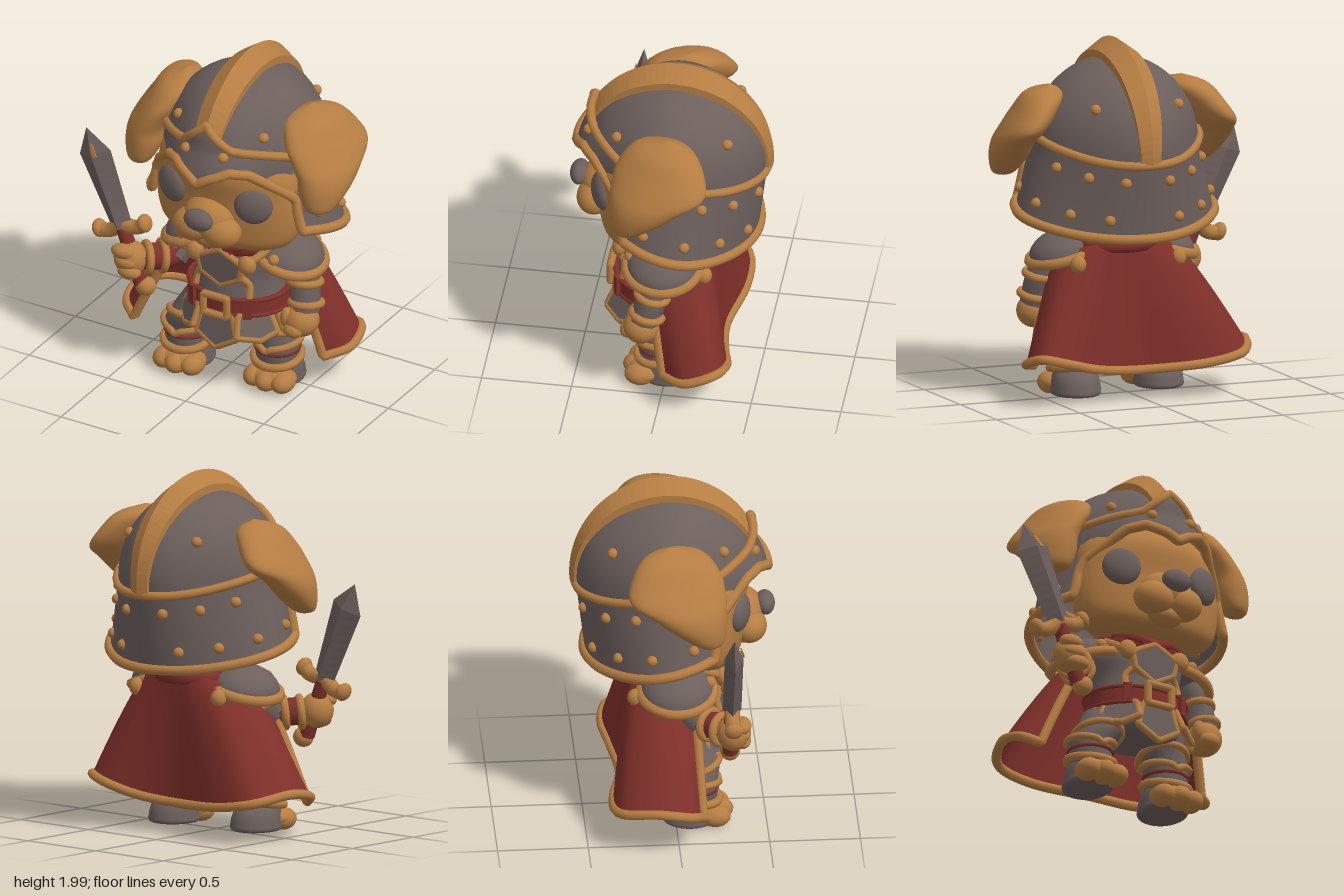
import * as THREE from 'three';
import { mergeVertices } from 'three/addons/utils/BufferGeometryUtils.js';

const mat = (name, color, side = THREE.FrontSide) => new THREE.MeshStandardMaterial({ name, color, side });
const V = (x, y, z) => new THREE.Vector3(x, y, z);
const { sin, cos, PI, abs, sqrt, max } = Math;
const rad = (d) => d * PI / 180;
const curve = (pts, closed = false, tension = 0.5) => new THREE.CatmullRomCurve3(pts, closed, 'catmullrom', tension);

// Smooth surface from fn(u, v); outside faces du x dv
function grid(nu, nv, fn) {
  const pos = [], idx = [];
  for (let j = 0; j <= nv; j++) for (let i = 0; i <= nu; i++) pos.push(...fn(i / nu, j / nv).toArray());
  for (let j = 0; j < nv; j++) for (let i = 0; i < nu; i++) {
    const a = j * (nu + 1) + i, b = a + nu + 1;
    idx.push(a, a + 1, b + 1, a, b + 1, b);
  }
  let g = new THREE.BufferGeometry();
  g.setAttribute('position', new THREE.Float32BufferAttribute(pos, 3));
  g.setIndex(idx);
  g = mergeVertices(g, 1e-4);
  g.computeVertexNormals();
  return g;
}
function faceted(g) {
  const flat = g.toNonIndexed();
  flat.computeVertexNormals();
  return flat;
}
// Elliptical rings [x, y, z, rx, rz] from bottom to top, joined smoothly; shear moves x with depth
function loft(rows, n = 32, shear = 0) {
  const mid = curve(rows.map((r) => V(r[0], r[1], r[2]))), size = curve(rows.map((r) => V(r[3], r[4], 0)));
  return grid(n, rows.length * 4, (u, v) => {
    const c = mid.getPoint(v), s = size.getPoint(v), a = u * 2 * PI, z = c.z + s.y * cos(a);
    return V(c.x + s.x * sin(a) + shear * z, c.y, z);
  });
}
const ball = (rx, ry, rz, x, y, z, yaw = 0) => new THREE.SphereGeometry(1, 28, 18).scale(rx, ry, rz).rotateY(yaw).translate(x, y, z);
const tube = (pts, r, closed = false, tension = 0.5, seg = pts.length * 6) =>
  new THREE.TubeGeometry(curve(pts, closed, tension), seg, r, 8, closed);
const ring = (rx, rz, r, wave = () => 0, n = 24) => tube(Array.from({ length: n }, (_, i) => {
  const a = i / n * 2 * PI;
  return V(rx * sin(a), wave(a), rz * cos(a));
}), r, true);
const band = (p, dir, r, t) => new THREE.TorusGeometry(r, t, 10, 28).lookAt(dir).translate(p.x, p.y, p.z);
function mirror(geo) {
  const g = geo.clone().scale(-1, 1, 1), ix = g.index.array;
  for (let i = 0; i < ix.length; i += 3) [ix[i], ix[i + 1]] = [ix[i + 1], ix[i]];
  g.computeVertexNormals();
  return g;
}
// Linear interpolation in a short table of [key, value]
function table(t, k) {
  for (let i = 1; i < t.length; i++) if (k <= t[i][0])
    return t[i - 1][1] + (t[i][1] - t[i - 1][1]) * (k - t[i - 1][0]) / (t[i][0] - t[i - 1][0]);
  return t[t.length - 1][1];
}

// Helmet surface: angle 0 is the front
function shell(a, y, off = 0) {
  const k = y > 1.42 ? sqrt(max(0, 1 - ((y - 1.42) / 0.48) ** 2)) : 1, u = max(0, (1.42 - y) / 0.47);
  const f = k * (1 + off) * (1 - 0.06 * sin(2 * a) ** 2);
  const depth = cos(a) > 0 ? 0.5 + 0.03 * u : 0.515 - 0.055 * u;
  return V((0.47 + 0.12 * u) * f * sin(a), y, -0.02 + depth * f * cos(a));
}
const bandY = (a) => 1.485 + 0.125 * cos(a);
const hemY = (a) => 1.055 + 0.11 * cos(a);
const browTop = (d) => (d < 28 ? table([[0, 1.74], [12, 1.66], [20, 1.61], [28, 1.595]], d) : bandY(rad(d)));
const browLow = (d) => table([[0, 1.42], [8, 1.46], [20, 1.5], [33, 1.48], [45, 1.41], [55, 1.35], [64, 1.29]], d);
function brow(deg, t) {
  const d = abs(deg), y = browLow(d) + (browTop(d) - browLow(d)) * t;
  return shell(rad(deg), y, 0.015 + 0.085 * (1 - t) * cos(rad(d)) ** 5 + 1.4 * max(0, y - 1.6));
}

export function createModel() {
  const steel = mat('steel', 0x6c5f5c, THREE.DoubleSide), gold = mat('tan gold', 0xb57d43), red = mat('red cloth', 0x80302a, THREE.DoubleSide);
  const model = new THREE.Group();
  model.name = 'dogKnight';
  const body = new THREE.Group();
  body.name = 'character';
  body.position.x = 0.09;
  model.add(body);
  const add = (name, geo, m, parent = body) => {
    const mesh = new THREE.Mesh(geo, m);
    mesh.name = name;
    parent.add(mesh);
  };
  const pair = (name, geo, m) => { add(name + 'Left', geo, m); add(name + 'Right', mirror(geo), m); };
  const group = (name, x, y, z, parent = body) => {
    const g = new THREE.Group();
    g.name = name;
    g.position.set(x, y, z);
    parent.add(g);
    return g;
  };

  // Head and face
  add('head', loft([[0, 0.935, 0.18, 0.001, 0.001], [0, 0.94, 0.18, 0.27, 0.13], [0, 0.99, 0.18, 0.39, 0.2], [0, 1.1, 0.17, 0.44, 0.23],
    [0, 1.27, 0.17, 0.44, 0.24], [0, 1.45, 0.15, 0.41, 0.27], [0, 1.62, 0.08, 0.28, 0.22]], 40), gold);
  pair('eye', ball(0.108, 0.11, 0.055, 0.258, 1.27, 0.355, 0.4), steel);
  add('muzzle', ball(0.16, 0.125, 0.14, 0, 1.15, 0.37), gold);
  pair('jowl', ball(0.12, 0.095, 0.1, 0.088, 1.095, 0.42), gold);
  add('chin', ball(0.11, 0.06, 0.08, 0, 1.02, 0.38), gold);
  add('nose', ball(0.088, 0.064, 0.055, 0, 1.185, 0.515), steel);
  pair('ear', loft([[0.61, 1.235, 0.18, 0.001, 0.001], [0.61, 1.26, 0.175, 0.07, 0.075], [0.595, 1.36, 0.115, 0.115, 0.155], [0.58, 1.45, 0.06, 0.122, 0.21],
    [0.535, 1.53, 0, 0.125, 0.265], [0.475, 1.62, -0.01, 0.125, 0.25], [0.415, 1.72, -0.02, 0.11, 0.17], [0.39, 1.77, -0.04, 0.001, 0.001]], 36, -0.2), gold);

  // Helmet shells
  add('helmetDome', grid(72, 16, (u, v) => {
    const a = u * 2 * PI, y = bandY(a);
    return shell(a, y + (1.9 - y) * sin(v * PI / 2));
  }), steel);
  add('neckGuard', grid(60, 8, (u, v) => {
    const a = rad(62 + 236 * u), y = hemY(a);
    return shell(a, y + (bandY(a) - y) * v);
  }), steel);
  add('browPlate', grid(48, 8, (u, v) => brow(-64 + 128 * u, v)), steel);

  // Helmet trims, crest and rivets
  const upper = [], lower = [];
  for (let d = -180; d < 180; d += 4) upper.push(abs(d) < 64 ? brow(d, 1) : shell(rad(d), bandY(rad(d)), 0.01));
  for (let d = -60; d <= 60; d += 4) lower.push(brow(d, 0));
  for (let y = 1.28; y > 1.14; y -= 0.05) lower.push(shell(rad(63), y, 0.01));
  for (let d = 64; d <= 296; d += 4) lower.push(shell(rad(d), hemY(rad(d)), 0.01));
  for (let y = 1.15; y < 1.3; y += 0.05) lower.push(shell(rad(-63), y, 0.01));
  add('helmetBand', tube(upper, 0.025, true, 0.4, 300), gold);
  add('helmetHem', tube(lower, 0.029, true, 0.4, 320), gold);
  add('crest', faceted(grid(4, 40, (u, v) => {
    const i = Math.round(u * 4), p = rad(28 + 157 * v), w = 0.06 + 0.04 * max(0, sin(p)), h = [-0.06, 0.01, 0.08, 0.01, -0.06][i];
    return V([-1, -1, 0, 1, 1][i] * w, 1.42 + (0.5 + h) * sin(p), -0.03 + (0.51 + h * 0.3) * cos(p));
  })), gold);
  const rivets = [[45, 1.66], [140, 1.66]];
  for (const d of [115, 140, 165]) rivets.push([d, bandY(rad(d)) - 0.1]);
  for (const d of [78, 105, 132, 158]) rivets.push([d, hemY(rad(d)) + 0.1]);
  for (const [d, y] of rivets) {
    const p = shell(rad(d), y);
    pair('rivet', ball(0.03, 0.03, 0.03, p.x, p.y, p.z), gold);
  }
  const bp = brow(15, 0.6);
  pair('browRivet', ball(0.03, 0.03, 0.03, bp.x, bp.y, bp.z), gold);

  // Torso, scarf and belt
  add('torso', loft([[0, 0.35, 0.07, 0.001, 0.001], [0, 0.37, 0.07, 0.2, 0.16], [0, 0.46, 0.07, 0.27, 0.21], [0, 0.56, 0.07, 0.27, 0.23],
    [0, 0.7, 0.07, 0.25, 0.21], [0, 0.82, 0.07, 0.27, 0.2], [0, 0.9, 0.05, 0.22, 0.18], [0, 0.97, 0.05, 0.16, 0.15]]), steel);
  add('neck', new THREE.CylinderGeometry(0.17, 0.2, 0.2, 28).translate(0, 0.98, 0.03), red);
  add('scarf', ring(0.23, 0.22, 0.055, (a) => -0.03 * cos(a)).translate(0, 0.92, 0.01), red);
  add('scarfBack', ring(0.24, 0.2, 0.045).translate(0, 0.87, -0.04), red);
  for (const s of [-1, 1]) add('scarfFold', tube([V(0.2 * s, 0.94, 0.16), V(0.08 * s, 0.91, 0.25), V(-0.07 * s, 0.86, 0.255)], 0.035), red);
  add('belt', new THREE.CylinderGeometry(1, 1, 0.095, 40).scale(0.295, 1, 0.25).translate(0, 0.555, 0.07), red);
  for (const y of [0.508, 0.602]) add('beltEdge', ring(0.292, 0.247, 0.012).translate(0, y, 0.07), red);
  pair('beltLoop', new THREE.BoxGeometry(0.05, 0.12, 0.04).rotateY(0.5).translate(0.17, 0.555, 0.275), red);
  add('buckle', tube([V(-0.075, 0.5, 0.335), V(0.075, 0.5, 0.335), V(0.075, 0.615, 0.335), V(-0.075, 0.615, 0.335)], 0.022, true, 0, 64), gold);

  // Bordered armour plates
  const plate = (name, pts, x, y, z, yaw, tilt) => {
    const g = group(name, x, y, z);
    g.rotation.set(tilt, yaw, 0, 'YXZ');
    const shape = new THREE.Shape(pts.map((p) => new THREE.Vector2(...p)));
    add('plateFace', new THREE.ExtrudeGeometry(shape, { depth: 0.03, bevelEnabled: false }).translate(0, 0, -0.015), steel, g);
    add('plateBorder', tube(pts.map((p) => V(p[0], p[1], 0)), 0.02, true, 0, 100), gold, g);
  };
  plate('chestPlate', [[-0.14, 0.04], [-0.12, -0.05], [0, -0.115], [0.12, -0.05], [0.14, 0.04], [0, 0.11]], 0, 0.775, 0.275, 0, 0.05);
  pair('chestStrap', tube([V(0.12, 0.73, 0.26), V(0.16, 0.68, 0.235), V(0.17, 0.61, 0.25)], 0.022), gold);
  pair('chestStrapTop', tube([V(0.13, 0.82, 0.27), V(0.19, 0.85, 0.23), V(0.24, 0.9, 0.15)], 0.024), gold);
  pair('chestStud', ball(0.055, 0.055, 0.04, 0.165, 0.825, 0.27), gold);
  const shield = [[-0.09, 0], [0.09, 0], [0.125, -0.14], [0, -0.215], [-0.125, -0.14]];
  const flap = [[-0.09, 0], [0.09, 0], [0.12, -0.11], [0.02, -0.15], [-0.11, -0.12]];
  for (const d of [0, 46, -46, 100, -100]) {
    const a = rad(d);
    plate('tasset', d ? flap : shield, 0.26 * sin(a), 0.505, 0.07 + 0.23 * cos(a), a, d ? -0.4 : -0.1);
  }

  // Shoulders
  const tiltOut = (g) => g.rotateZ(-0.28).translate(0.29, 0.81, 0.01);
  pair('pauldron', tiltOut(new THREE.SphereGeometry(1, 32, 12, 0, 2 * PI, 0, PI / 2).scale(0.19, 0.13, 0.2)), steel);
  pair('pauldronRim', tiltOut(ring(0.19, 0.2, 0.03)), gold);
  pair('pauldronRivet', ball(0.032, 0.032, 0.032, 0.29, 0.855, 0.19), gold);
  pair('capeKnot', ball(0.045, 0.05, 0.045, 0.3, 0.78, -0.22), gold);

  // Left arm hanging
  const down = V(0.1, -1, 0.2);
  add('leftArm', tube([V(0.35, 0.8, 0.03), V(0.41, 0.69, 0.05), V(0.43, 0.53, 0.09)], 0.085, false, 0.5, 24), steel);
  for (const [x, y, z] of [[0.41, 0.69, 0.05], [0.43, 0.575, 0.075]]) add('leftArmBand', band(V(x, y, z), down, 0.084, 0.022), gold);
  add('leftHand', ball(0.1, 0.095, 0.1, 0.42, 0.48, 0.11), gold);
  for (const i of [-1, 0, 1]) add('leftFinger', ball(0.06, 0.045, 0.05, 0.41, 0.435 + 0.01 * abs(i), 0.12 + 0.06 * i), gold);
  add('leftThumb', ball(0.035, 0.06, 0.04, 0.355, 0.5, 0.16), gold);

  // Right arm raised forward
  const fore = V(-0.14, 0.02, 0.15);
  add('rightArm', tube([V(-0.33, 0.8, 0.03), V(-0.37, 0.72, 0.07), V(-0.39, 0.66, 0.13)], 0.085, false, 0.5, 20), steel);
  add('rightSleeve', tube([V(-0.37, 0.68, 0.1), V(-0.43, 0.67, 0.18), V(-0.51, 0.68, 0.25)], 0.078, false, 0.5, 20), red);
  add('rightElbowBand', band(V(-0.37, 0.73, 0.07), V(-0.2, -1, 0.4), 0.084, 0.02), gold);
  for (const t of [0.35, 0.85]) add('rightArmBand', band(V(-0.39 - 0.12 * t, 0.67, 0.13 + 0.13 * t), fore, 0.08, 0.022), gold);
  add('rightHand', ball(0.095, 0.1, 0.09, -0.56, 0.68, 0.3), gold);
  for (const i of [-1, 0, 1]) add('rightFinger', ball(0.07, 0.042, 0.05, -0.56 - 0.02 * i, 0.68 + 0.058 * i, 0.35), gold);

  // Sword
  const sword = group('sword', -0.62, 0.86, 0.29);
  sword.rotation.z = rad(21);
  add('blade', faceted(grid(4, 12, (u, v) => {
    const i = Math.round(u * 4), taper = v < 0.75 ? 1 : (1 - v) / 0.25, w = (0.07 + 0.035 * Math.min(1, v / 0.75)) * taper;
    return V([-1, 0, 1, 0, -1][i] * w - 0.015 * v, v * 0.6, [0, 0.052, 0, -0.052, 0][i] * taper);
  })), steel, sword);
  add('bladeFleck', new THREE.BoxGeometry(0.02, 0.08, 0.008).rotateZ(0.2).rotateX(-0.25).translate(0.01, 0.475, 0.046), gold, sword);
  add('guard', tube([V(-0.16, -0.005, 0), V(-0.09, -0.02, 0), V(0, 0.005, 0), V(0.09, -0.02, 0), V(0.15, -0.005, 0)], 0.042), gold, sword);
  for (const s of [-1, 1]) add('guardEnd', ball(0.036, 0.052, 0.052, 0.155 * s, 0, 0), gold, sword);
  add('grip', new THREE.CylinderGeometry(0.04, 0.045, 0.34, 16).translate(0, -0.18, 0), red, sword);
  add('pommel', ball(0.058, 0.055, 0.055, 0.02, -0.37, 0), gold, sword);

  // Legs and paws
  for (const [side, x, z] of [['left', 0.22, 0.03], ['right', -0.31, 0.11]]) {
    const leg = group(side + 'Leg', x, 0, z), hip = x > 0 ? -0.07 : 0.14;
    add('legArmour', loft([[0, 0.08, 0, 0.1, 0.1], [0, 0.16, 0, 0.12, 0.12], [0, 0.27, 0, 0.125, 0.125], [hip * 0.4, 0.36, 0, 0.135, 0.135],
      [hip, 0.5, 0.06 - z, 0.14, 0.14]]), steel, leg);
    add('kneeTrim', ring(0.13, 0.13, 0.02, (a) => 0.05 * abs(sin(a / 2)) ** 0.5 - 0.02).translate(0, 0.26, 0), gold, leg);
    add('thighTrim', ring(0.135, 0.135, 0.02, (a) => 0.04 * cos(a)).translate(hip * 0.3, 0.335, 0), gold, leg);
    add('legWrap', ring(0.12, 0.12, 0.012).translate(0, 0.22, 0), red, leg);
    add('ankleTrim', ring(0.13, 0.13, 0.024, (a) => -0.02 * cos(a)).translate(0, 0.165, 0), gold, leg);
    add('boot', loft([[0, 0.01, -0.03, 0.001, 0.001], [0, 0.015, -0.03, 0.125, 0.14], [0, 0.06, -0.03, 0.135, 0.15], [0, 0.12, -0.02, 0.125, 0.135],
      [0, 0.17, 0, 0.1, 0.1]]), steel, leg);
    add('paw', ball(0.15, 0.065, 0.1, 0.01, 0.075, 0.08), gold, leg);
    for (const i of [-1, 0, 1]) add('toe', ball(0.065, 0.062, 0.085, 0.01 + 0.088 * i, 0.067, 0.125 - 0.02 * abs(i)), gold, leg);
  }

  // Cape swept to one side, with a rolled hem
  const collar = curve([V(-0.33, 0.79, 0.1), V(-0.34, 0.82, -0.02), V(-0.31, 0.85, -0.13), V(-0.21, 0.88, -0.21), V(-0.1, 0.9, -0.24), V(0, 0.9, -0.25),
    V(0.1, 0.9, -0.24), V(0.21, 0.88, -0.21), V(0.31, 0.85, -0.13), V(0.34, 0.82, -0.02), V(0.33, 0.79, 0.1)]);
  const bottom = curve([V(-0.64, 0.2, 0.13), V(-0.73, 0.25, 0.05), V(-0.74, 0.28, -0.12), V(-0.64, 0.24, -0.32), V(-0.4, 0.2, -0.35), V(-0.06, 0.18, -0.29),
    V(0.2, 0.2, -0.32), V(0.4, 0.25, -0.36), V(0.55, 0.28, -0.31), V(0.58, 0.23, -0.15), V(0.48, 0.2, -0.02)]);
  const cape = (u, v) => {
    const a = collar.getPoint(u), b = bottom.getPoint(u), p = a.clone().lerp(b, v ** 0.85);
    p.y = a.y + (b.y - a.y) * v;
    return p;
  };
  add('cape', grid(60, 16, cape), red);
  const hem = [];
  for (let i = 0; i <= 8; i++) hem.push(cape(0, 0.1 + 0.11 * i));
  for (let i = 0; i <= 40; i++) hem.push(cape(i / 40, 1));
  for (let i = 8; i >= 0; i--) hem.push(cape(1, 0.1 + 0.11 * i));
  add('capeHem', tube(hem, 0.027, false, 0.4, 240), gold);
  return model;
}
